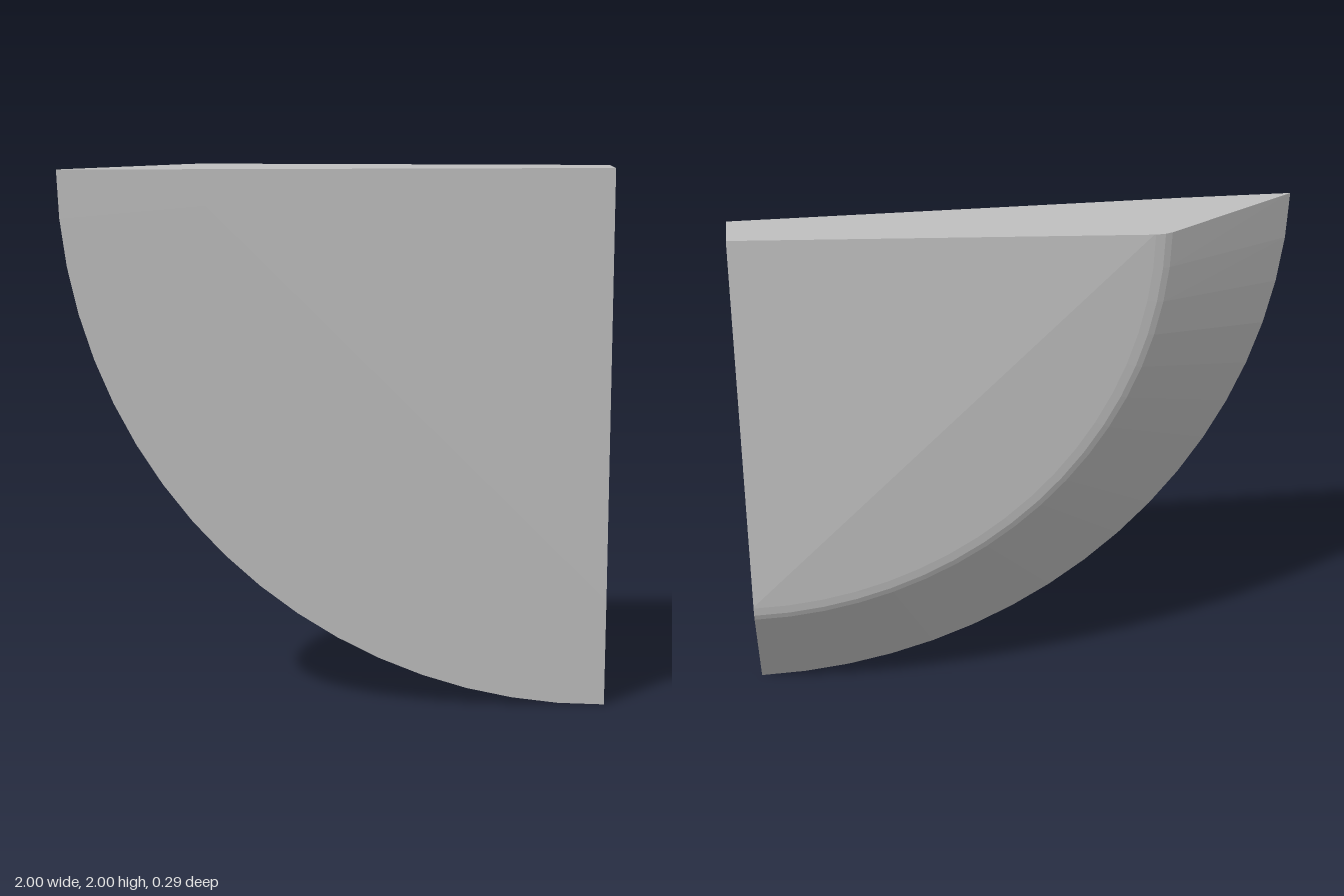
import * as THREE from 'three';

const SEGMENTS = 18;

// Chord radius at angle a for a straight crease joining the two ends of a quarter arc
const chord = (r, a) => (r * Math.SQRT1_2) / Math.cos(a - Math.PI / 4);

// Radial cross-section [radius, z] from the front of the corner, round the rim, to the back
function section(a) {
  const bulge = 0.005 * Math.sin(2 * a);
  return [
    [0, 0.115], [chord(1.6, a), 0.145], [2, 0.145],
    [1.53, -0.13 - bulge], [1.505, -0.139 - bulge], [1.47, -0.142 - bulge],
    [chord(1.465, a), -0.142], [0, -0.04],
  ];
}

export function createModel() {
  const group = new THREE.Group();
  group.name = 'quarterDiscWedge';
  const grey = new THREE.MeshStandardMaterial({ color: 0xbfbfbf });
  grey.name = 'grey';

  // Sections swept a quarter turn about the upper corner
  const rows = [];
  for (let i = 0; i <= SEGMENTS; i++) {
    const a = (i / SEGMENTS) * Math.PI / 2;
    rows.push(section(a).map(([r, z]) => [1 - r * Math.cos(a), 2 - r * Math.sin(a), z]));
  }

  const positions = [];
  const tri = (a, b, c) => positions.push(...a, ...b, ...c);
  const count = rows[0].length;

  // Front face, bevelled rim and back face
  for (let i = 0; i < SEGMENTS; i++) {
    for (let j = 0; j < count - 1; j++) {
      const a = rows[i][j], b = rows[i][j + 1];
      const c = rows[i + 1][j + 1], d = rows[i + 1][j];
      if (j < count - 2) tri(a, b, c);
      if (j > 0) tri(a, c, d);
    }
  }

  // Flat cut ends: top and left side
  const top = rows[0], side = rows[SEGMENTS];
  for (let j = 1; j < count - 1; j++) {
    tri(top[0], top[j + 1], top[j]);
    tri(side[0], side[j], side[j + 1]);
  }

  const geometry = new THREE.BufferGeometry();
  geometry.setAttribute('position', new THREE.Float32BufferAttribute(positions, 3));
  geometry.computeVertexNormals();

  const wedge = new THREE.Mesh(geometry, grey);
  wedge.name = 'wedge';
  group.add(wedge);
  return group;
}
